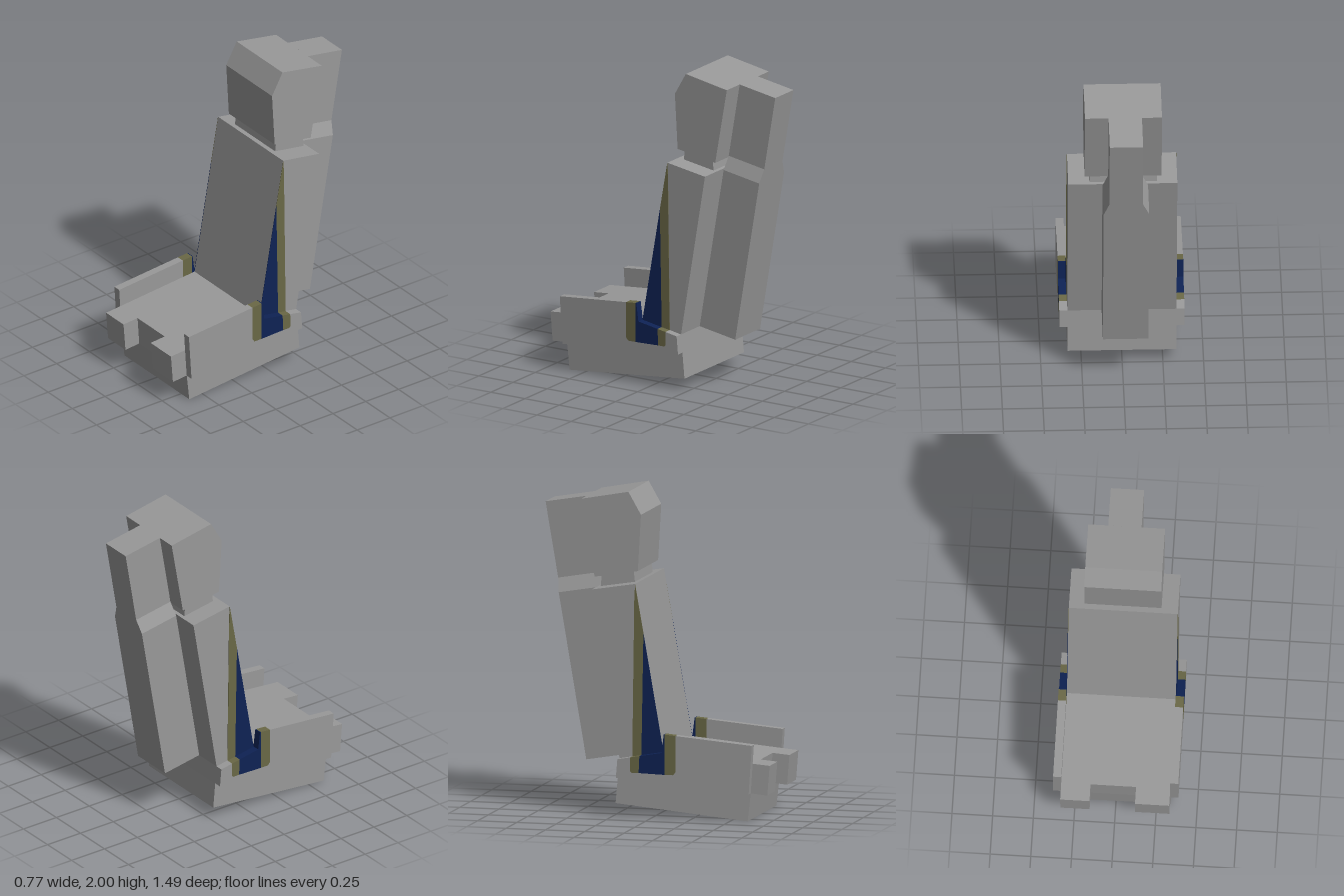
import * as THREE from 'three';

const grey = new THREE.MeshStandardMaterial({ color: 0x999999, name: 'grey' });
const blue = new THREE.MeshStandardMaterial({ color: 0x0e2254, name: 'navy blue' });
const olive = new THREE.MeshStandardMaterial({ color: 0x6a6846, name: 'olive' });

// Side profile of [z, y] points, extruded across from x0 to x1
function slab(name, material, x0, x1, profile) {
  const shape = new THREE.Shape(profile.map(([z, y]) => new THREE.Vector2(-z, y)));
  const geometry = new THREE.ExtrudeGeometry(shape, { depth: x1 - x0, bevelEnabled: false });
  geometry.rotateY(Math.PI / 2).translate(x0, 0, 0);
  const mesh = new THREE.Mesh(geometry, material);
  mesh.name = name;
  return mesh;
}

export function createModel() {
  const model = new THREE.Group();
  model.name = 'seat';
  const W = 0.335, P = 0.385;
  const add = (...args) => model.add(slab(...args));

  // Seat cushion with two front lugs either side of a notch
  add('seatCushion', grey, -W, W, [[0.625, 0.175], [0.638, 0.359], [0.07, 0.41], [-0.21, 0.36], [-0.22, 0.245]]);
  const lug = [[0.625, 0.175], [0.73, 0.165], [0.745, 0.35], [0.638, 0.359]];
  add('rightFrontLug', grey, -W, -0.155, lug);
  add('leftFrontLug', grey, 0.125, W, lug);

  // Hollow base, open underneath
  const t = 0.006;
  add('baseFront', grey, -W, W, [[0.605, 0], [0.625, 0.175], [0.625 - t, 0.175], [0.605 - t, 0]]);
  add('baseBack', grey, -W, W, [[-0.235, 0.08], [-0.22, 0.245], [-0.22 + t, 0.245], [-0.235 + t, 0.08]]);
  const baseSide = [[0.605, 0], [0.625, 0.175], [-0.22, 0.245], [-0.235, 0.08]];
  add('baseRight', grey, -W, -W + t, baseSide);
  add('baseLeft', grey, W - t, W, baseSide);

  // Reclined back, neck and headrest
  add('backrest', grey, -W, W, [[-0.11, 1.445], [-0.385, 1.4], [-0.21, 0.36], [0.07, 0.41]]);
  add('neck', grey, -0.21, 0.205, [[-0.145, 1.43], [-0.155, 1.52], [-0.355, 1.49], [-0.365, 1.39]]);
  add('headrest', grey, -0.238, 0.235, [[-0.18, 2], [-0.1, 1.86], [-0.12, 1.51], [-0.395, 1.465], [-0.48, 1.945]]);

  // Rear spine, narrower towards the top
  const outline = [[-0.155, 0], [0.125, 0], [0.125, 1.045], [0.09, 1.131], [0.09, 1.608],
    [-0.115, 1.608], [-0.115, 1.131], [-0.155, 1.045]];
  const spineShape = new THREE.Shape(outline.map(([x, y]) => new THREE.Vector2(x, y)));
  const spineGeometry = new THREE.ExtrudeGeometry(spineShape, { depth: 0.264, bevelEnabled: false });
  spineGeometry.translate(0, 0, -0.264);
  const spine = new THREE.Mesh(spineGeometry, grey);
  spine.name = 'rearSpine';
  spine.rotation.x = -0.1687;
  spine.position.set(0, 0.36, -0.21);
  model.add(spine);

  // Side panels tiled by colour, and painted wedges on the back's sides
  const panelTiles = [
    ['PanelFront', grey, [[0.625, 0.175], [0.645, 0.477], [0.16, 0.519], [0.16, 0.2135]]],
    ['PanelLower', grey, [[0.16, 0.2135], [0.16, 0.295], [0.145, 0.275], [0.09, 0.275], [-0.075, 0.28],
      [-0.12, 0.28], [-0.13, 0.29], [-0.13, 0.2375]]],
    ['PanelRear', grey, [[-0.128, 0.375], [-0.21, 0.36], [-0.22, 0.245], [-0.13, 0.2375], [-0.13, 0.29]]],
    ['StrapFrontEdge', olive, [[0.16, 0.519], [0.09, 0.525], [0.09, 0.275], [0.145, 0.275], [0.16, 0.295]]],
    ['StrapMiddle', blue, [[0.09, 0.525], [0.085, 0.525], [0.07, 0.41], [-0.07, 0.385], [-0.075, 0.28], [0.09, 0.275]]],
    ['StrapRearEdge', olive, [[-0.07, 0.385], [-0.128, 0.375], [-0.13, 0.29], [-0.12, 0.28], [-0.075, 0.28]]],
  ];
  const wedges = [
    ['BackWedge', blue, [[-0.057, 1.14], [-0.07, 0.385], [0.07, 0.41]]],
    ['BackWedgeEdge', olive, [[-0.11, 1.44], [-0.115, 1.37], [-0.128, 0.375], [-0.07, 0.385], [-0.057, 1.14]]],
  ];
  for (const [side, s] of [['left', 1], ['right', -1]]) {
    const place = (outer) => ([name, material, profile]) =>
      add(side + name, material, s > 0 ? W : -outer, s > 0 ? outer : -W, profile);
    panelTiles.forEach(place(P));
    wedges.forEach(place(W + 0.003));
  }
  return model;
}
